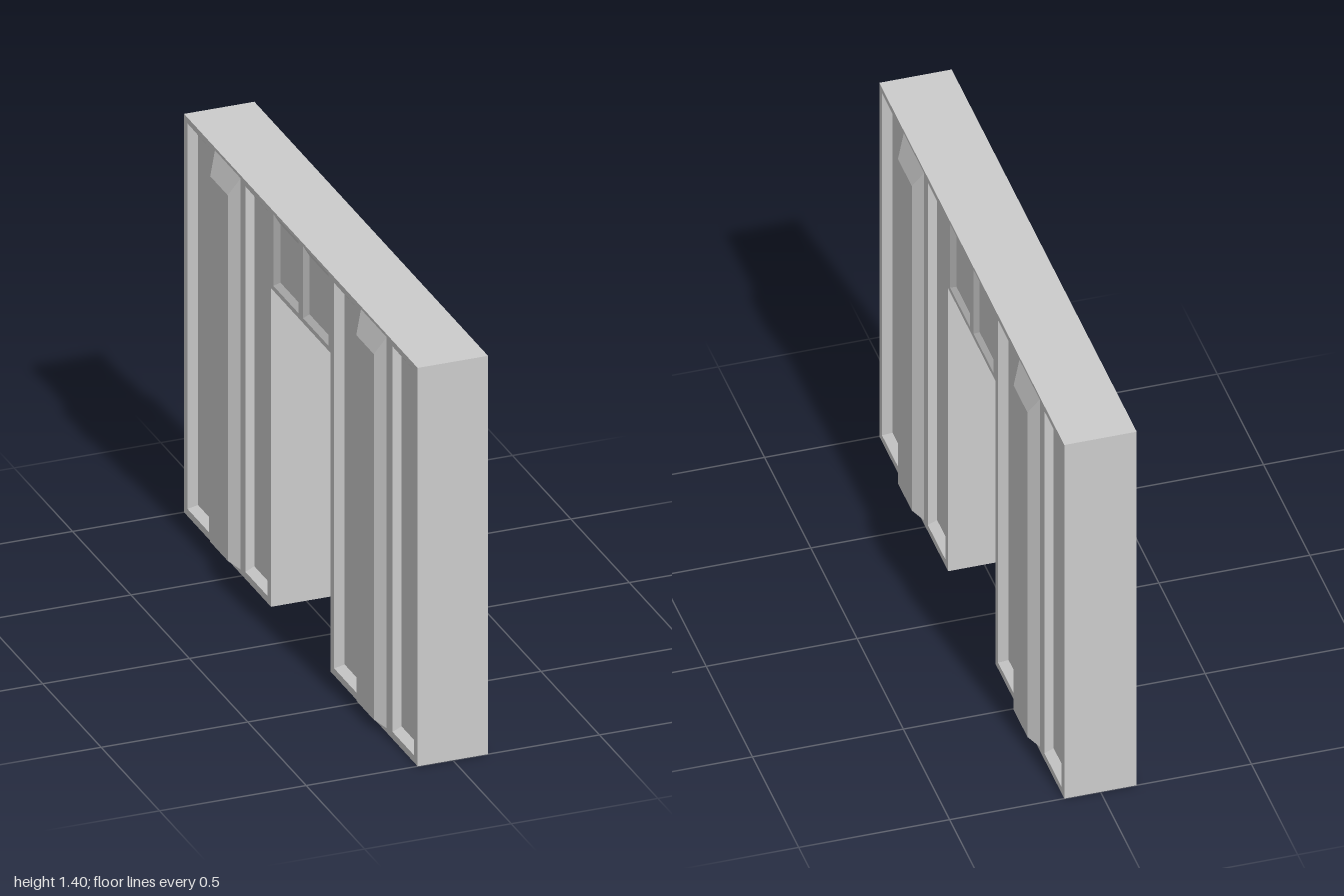
import * as THREE from 'three';

const HALF = 0.12, TOP = 1.4, DOOR = 0.255, DOOR_TOP = 1.12;

const material = new THREE.MeshStandardMaterial({
  color: 0xcccccc, flatShading: true, side: THREE.DoubleSide,
});

// Wall outline with the doorway, counter-clockwise
const outline = [
  [-1, 0], [-DOOR, 0], [-DOOR, DOOR_TOP], [DOOR, DOOR_TOP],
  [DOOR, 0], [1, 0], [1, TOP], [-1, TOP],
];

function quadMesh(name, quads) {
  const positions = [];
  for (const [a, b, c, d] of quads) positions.push(...a, ...b, ...c, ...a, ...c, ...d);
  const geometry = new THREE.BufferGeometry();
  geometry.setAttribute('position', new THREE.Float32BufferAttribute(positions, 3));
  geometry.computeVertexNormals();
  const mesh = new THREE.Mesh(geometry, material);
  mesh.name = name;
  return mesh;
}

// Rectangles are [left, right, bottom, top]
const corners = ([l, r, b, t], w) => [[l, b, w], [r, b, w], [r, t, w], [l, t, w]];

// Bevelled panel: sloping sides from the outer to the inner rectangle, plus its flat
function bevelPanel({ name, outer, inner, depth }) {
  const o = corners(outer, 0), i = corners(inner, depth);
  const quads = [i];
  for (let k = 0; k < 4; k++) {
    const n = (k + 1) % 4;
    quads.push([o[k], o[n], i[n], i[k]]);
  }
  return quadMesh(name, quads);
}

const mirrorRect = ([l, r, b, t]) => [-r, -l, b, t];

function panelList() {
  const half = [
    { name: 'outerRecess', outer: [0.785, 0.97, 0.025, 1.38], inner: [0.787, 0.955, 0.04, 1.34], depth: -0.03 },
    { name: 'innerRecess', outer: [0.285, 0.475, 0.025, 1.38], inner: [0.3, 0.473, 0.04, 1.34], depth: -0.03 },
    { name: 'rib', outer: [0.515, 0.735, 0.015, 1.39], inner: [0.55, 0.7, 0.035, 1.32], depth: 0.03 },
    { name: 'lintelRecess', outer: [0.02, 0.235, 1.137, 1.39], inner: [0.045, 0.205, 1.16, 1.365], depth: -0.012 },
  ];
  return half.flatMap((p) => [p, { ...p, outer: mirrorRect(p.outer), inner: mirrorRect(p.inner) }]);
}

// One broad face of the wall, with openings for its panels
function wallFace(name) {
  const group = new THREE.Group();
  group.name = name;
  const panels = panelList();
  const shape = new THREE.Shape(outline.map(([x, y]) => new THREE.Vector2(x, y)));
  for (const { outer } of panels) {
    const points = corners(outer, 0).map(([x, y]) => new THREE.Vector2(x, y));
    shape.holes.push(new THREE.Path(points.reverse()));
  }
  const plate = new THREE.Mesh(new THREE.ShapeGeometry(shape), material);
  plate.name = 'facePlate';
  group.add(plate, ...panels.map(bevelPanel));
  return group;
}

export function createModel() {
  const model = new THREE.Group();
  model.name = 'doorwayWall';

  // Matching panelled faces on both sides
  for (const side of [1, -1]) {
    const face = wallFace(side > 0 ? 'leftFace' : 'rightFace');
    face.rotation.y = side * Math.PI / 2;
    face.position.x = side * HALF;
    model.add(face);
  }

  // Ends, top and door jambs; the feet stay open
  const quads = [];
  outline.forEach((a, k) => {
    const b = outline[(k + 1) % outline.length];
    if (a[1] === 0 && b[1] === 0) return;
    quads.push([[...a, -HALF], [...b, -HALF], [...b, HALF], [...a, HALF]]);
  });
  const edges = quadMesh('edgesAndJambs', quads);
  edges.rotation.y = Math.PI / 2;
  model.add(edges);

  return model;
}
